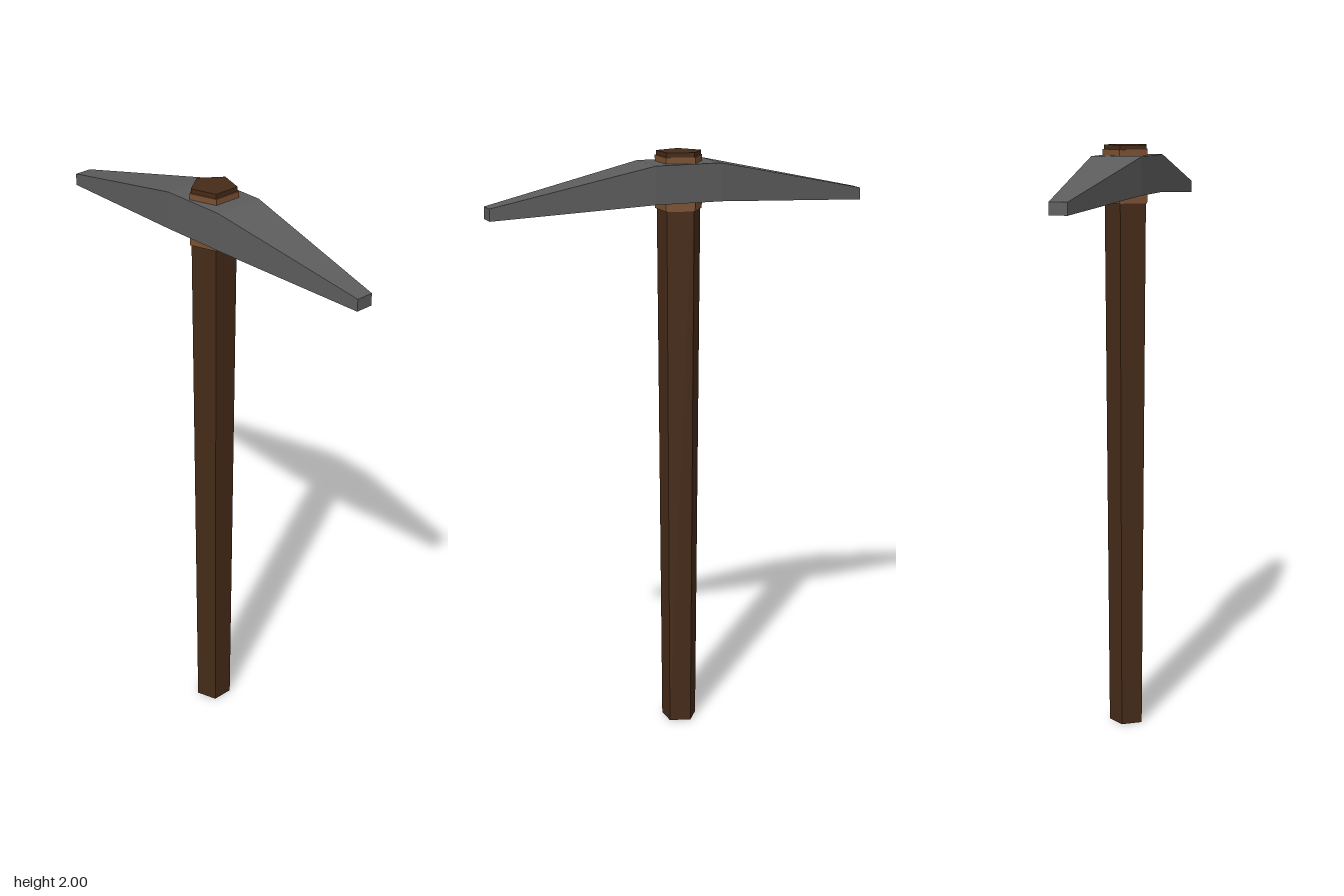
import * as THREE from 'three';

const material = (color) => new THREE.MeshStandardMaterial({ color, flatShading: true });

// Tapered five-sided prism between two heights, one corner pointing back
function pentagon(name, rTop, rBottom, y0, y1, mat) {
  const geo = new THREE.CylinderGeometry(rTop, rBottom, y1 - y0, 5, 1, false, Math.PI);
  geo.translate(0, (y0 + y1) / 2, 0);
  const mesh = new THREE.Mesh(geo, mat);
  mesh.name = name;
  return mesh;
}

// Double-ended head: a box split into three along z, with both ends drooping and tapering
function pickHead(mat) {
  const geo = new THREE.BoxGeometry(2, 2, 3, 1, 1, 3);
  const p = geo.attributes.position;
  for (let i = 0; i < p.count; i++) {
    const x = p.getX(i), up = p.getY(i) > 0, z = p.getZ(i);
    const tip = Math.abs(z) > 1;
    const y = tip ? (up ? 1.85 : 1.81) : (up ? 1.965 : 1.84);
    p.setXYZ(i, x * (tip ? 0.03 : 0.086), y, Math.sign(z) * (tip ? 0.655 : 0.115));
  }
  geo.computeVertexNormals();
  const mesh = new THREE.Mesh(geo, mat);
  mesh.name = 'pickHead';
  return mesh;
}

export function createModel() {
  const group = new THREE.Group();
  group.name = 'pickaxe';
  const wood = material(0x452a18);
  const paleWood = material(0x7a5030);
  const steel = material(0x5c5c5c);

  group.add(
    pentagon('handle', 0.077, 0.062, 0, 2, wood),
    // Binding around the handle where it passes through the head
    pentagon('collar', 0.082, 0.081, 1.81, 1.985, paleWood),
    pickHead(steel),
  );
  return group;
}
